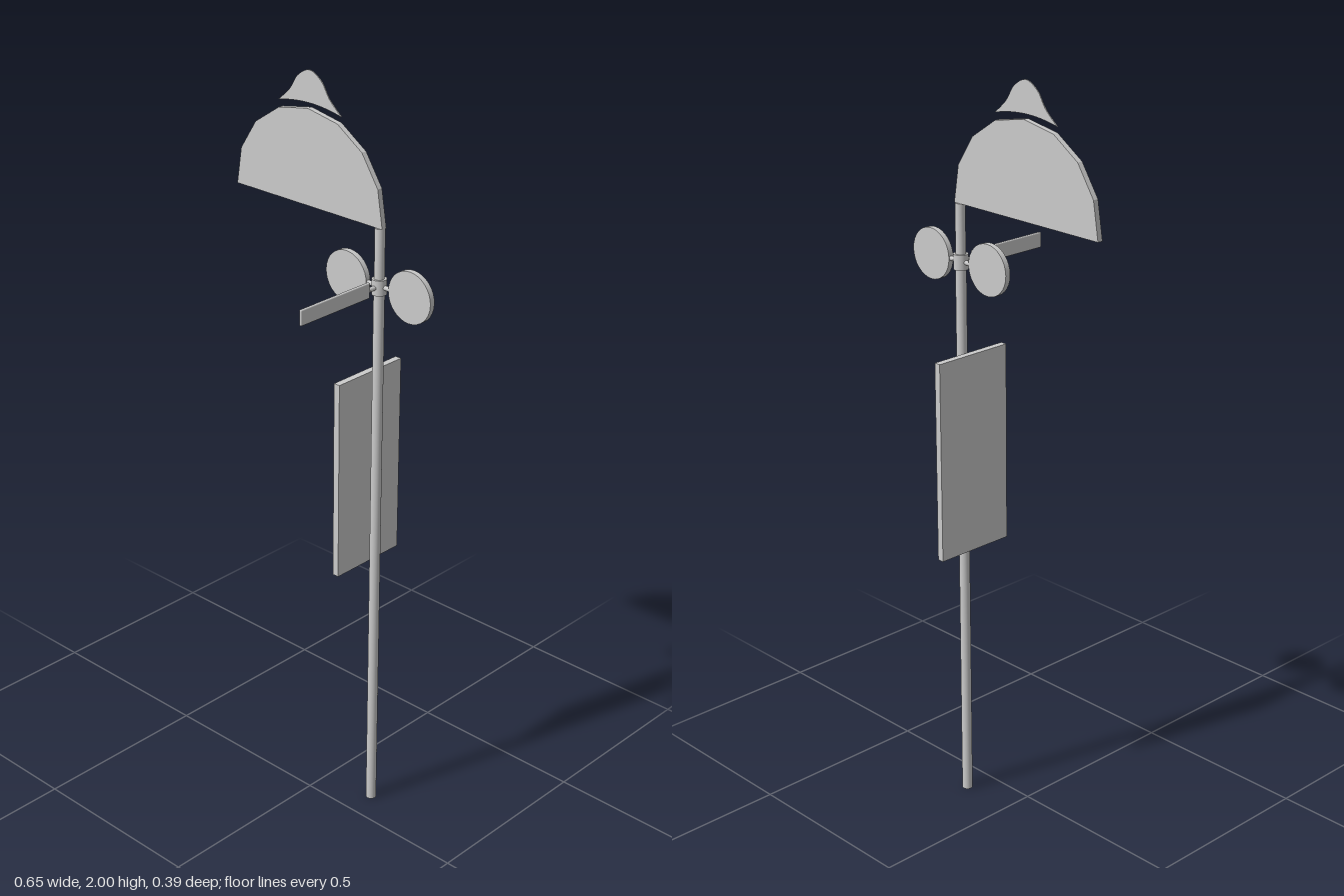
import * as THREE from 'three';
import { RoundedBoxGeometry } from 'three/addons/geometries/RoundedBoxGeometry.js';

const PX = 0.154, PZ = -0.082, HUB_Y = 1.51;

export function createModel() {
  const group = new THREE.Group();
  const mat = new THREE.MeshStandardMaterial({ color: 0xcccccc });
  const flat = new THREE.MeshStandardMaterial({ color: 0xcccccc, flatShading: true });

  const add = (name, geo, x, y, z, material = mat) => {
    const mesh = new THREE.Mesh(geo, material);
    mesh.name = name;
    mesh.position.set(x, y, z);
    group.add(mesh);
    return mesh;
  };
  // Flat plate cut from an outline, centred on the pole's plane
  const plate = (name, shape, depth) => {
    const geo = new THREE.ExtrudeGeometry(shape, { depth, bevelEnabled: false, curveSegments: 16 });
    add(name, geo, 0, 0, PZ - depth / 2, flat);
  };

  // Pole in two lengths, joined at the hub
  add('lowerPole', new THREE.CylinderGeometry(0.014, 0.014, HUB_Y, 24), PX, HUB_Y / 2, PZ);
  add('upperPole', new THREE.CylinderGeometry(0.013, 0.013, 1.66 - HUB_Y, 24), PX, (1.66 + HUB_Y) / 2, PZ);
  add('hub', new THREE.CylinderGeometry(0.019, 0.019, 0.04, 24), PX, HUB_Y, PZ);

  // Round discs on short arms to both sides
  for (const s of [-1, 1]) {
    const arm = add('discArm', new THREE.CylinderGeometry(0.006, 0.006, 0.03, 12), PX + s * 0.028, HUB_Y, PZ);
    arm.rotation.z = Math.PI / 2;
    const disc = add('disc', new THREE.CylinderGeometry(0.067, 0.067, 0.015, 32), PX + s * 0.103, HUB_Y, PZ);
    disc.rotation.x = Math.PI / 2;
  }

  // Upright blade reaching forward
  const arm = add('bladeArm', new THREE.CylinderGeometry(0.006, 0.006, 0.03, 12), PX, HUB_Y, PZ + 0.025);
  arm.rotation.x = Math.PI / 2;
  add('blade', new RoundedBoxGeometry(0.008, 0.041, 0.24, 2, 0.003), PX, HUB_Y, 0.075);

  // Rectangular board beside the pole
  add('sideBoard', new THREE.BoxGeometry(0.018, 0.54, 0.228), 0.122, 1.005, -0.081);

  // Faceted half-round board
  const half = [[0.246, 1.66], [0.23, 1.757], [0.178, 1.836], [0.098, 1.889]];
  const outline = [
    ...half.map(([x, y]) => new THREE.Vector2(-0.079 + x, y)),
    new THREE.Vector2(-0.079, 1.907),
    ...half.slice().reverse().map(([x, y]) => new THREE.Vector2(-0.079 - x, y)),
  ];
  plate('halfRoundBoard', new THREE.Shape(outline), 0.015);

  // Thin crest with a curved underside
  const crest = new THREE.Shape();
  crest.moveTo(0.026, 1.906);
  crest.splineThru([[-0.012, 1.94], [-0.04, 1.98], [-0.079, 2], [-0.118, 1.98], [-0.146, 1.94], [-0.184, 1.906]]
    .map(([x, y]) => new THREE.Vector2(x, y)));
  crest.quadraticCurveTo(-0.079, 1.932, 0.026, 1.906);
  plate('crest', crest, 0.003);

  return group;
}
